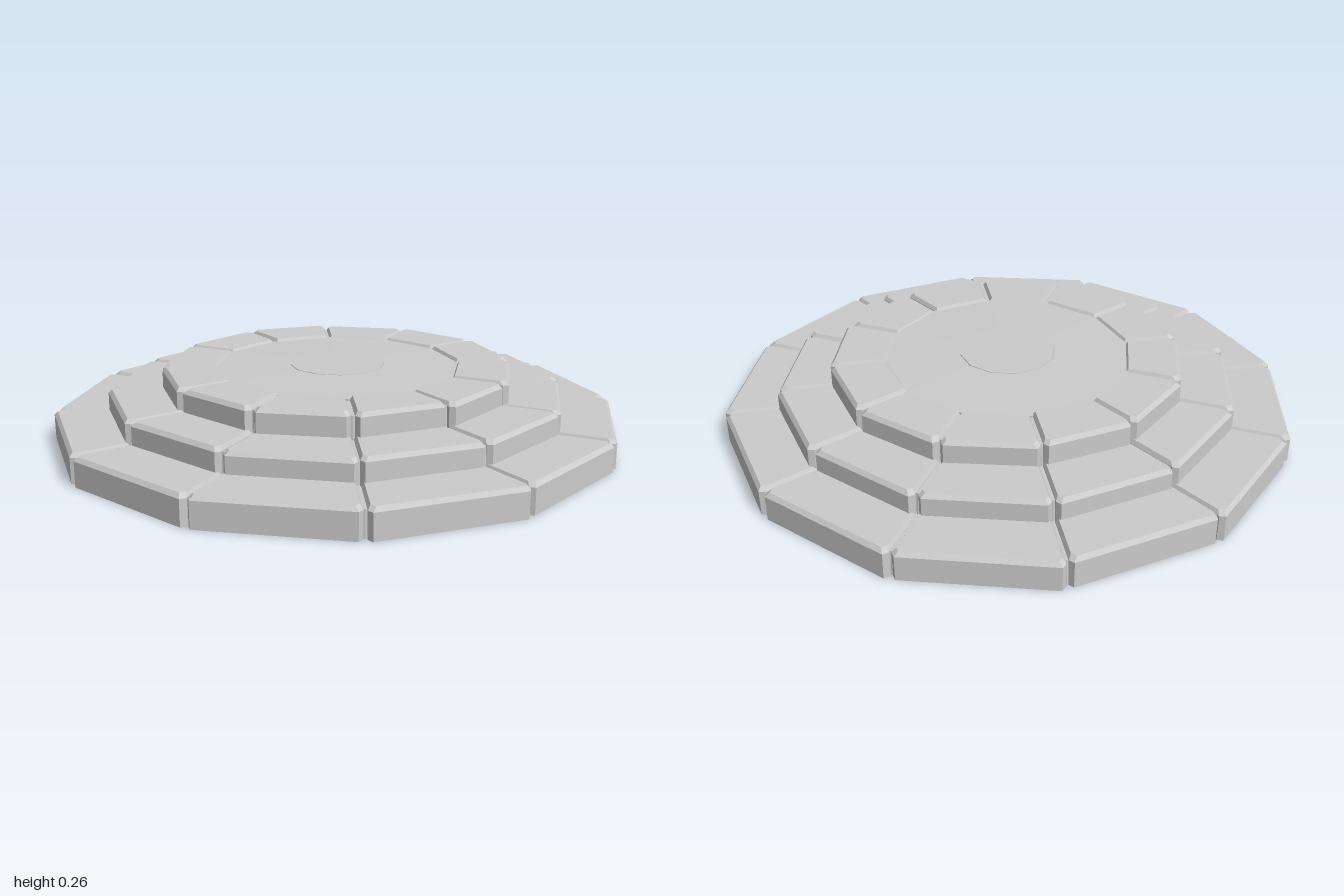
import * as THREE from 'three';

const SIDES = 12;
const STEP = (Math.PI * 2) / SIDES;
const stone = new THREE.MeshStandardMaterial({ color: 0xcccccc, flatShading: true });

// Small seeded generator, returns -1..1
function makeNoise(seed) {
  let s = seed;
  return () => {
    s = (s * 16807) % 2147483647;
    return (s / 2147483647) * 2 - 1;
  };
}

// One wedge stone: outline loops lofted upward, with clipped outer corners and a bevelled top
function blockGeometry(rIn, rA, rB, a0, a1, y0, y1, gapA, gapB) {
  const bevel = 0.014;
  const outline = (inset) => {
    const at = (r, a, shift) => [
      r * Math.sin(a) + shift * Math.cos(a),
      r * Math.cos(a) - shift * Math.sin(a),
    ];
    const i = inset * 0.6;
    return [
      at(rIn + i, a0, gapA + i),
      at(rA - 0.016 - inset, a0, gapA + i),
      at(rA - inset, a0, gapA + 0.014 + i),
      at(rB - inset, a1, -gapB - 0.014 - i),
      at(rB - 0.016 - inset, a1, -gapB - i),
      at(rIn + i, a1, -gapB - i),
    ];
  };
  const loops = [[0, y0], [0, y1 - bevel], [bevel, y1]].map(([inset, y]) =>
    outline(inset).map(([x, z]) => [x, y, z]));
  const pos = [];
  const tri = (a, b, c) => pos.push(...a, ...b, ...c);
  const n = loops[0].length;
  for (let l = 0; l < loops.length - 1; l++) {
    for (let i = 0; i < n; i++) {
      const j = (i + 1) % n;
      const lo = loops[l], hi = loops[l + 1];
      tri(lo[i], lo[j], hi[j]);
      tri(lo[i], hi[j], hi[i]);
    }
  }
  const top = loops[loops.length - 1], bottom = loops[0];
  for (let i = 1; i < n - 1; i++) {
    tri(top[0], top[i], top[i + 1]);
    tri(bottom[0], bottom[i + 1], bottom[i]);
  }
  const g = new THREE.BufferGeometry();
  g.setAttribute('position', new THREE.Float32BufferAttribute(pos, 3));
  g.computeVertexNormals();
  return g;
}

// A ring of twelve slightly uneven stones around a solid core
function tier(name, rIn, rOut, y0, y1, seed) {
  const group = new THREE.Group();
  group.name = name;
  const noise = makeNoise(seed);
  for (let i = 0; i < SIDES; i++) {
    const rA = rOut - 0.006 + noise() * 0.006;
    const rB = rOut - 0.006 + noise() * 0.006;
    const top = y1 - 0.003 + noise() * 0.003;
    const gapA = 0.004 + noise() * 0.003;
    const gapB = 0.004 + noise() * 0.003;
    const geo = blockGeometry(rIn + noise() * 0.005, rA, rB, i * STEP, (i + 1) * STEP, y0, top, gapA, gapB);
    const block = new THREE.Mesh(geo, stone);
    block.name = name + 'Stone' + (i + 1);
    group.add(block);
  }
  const h = y1 - y0 - 0.018;
  const core = new THREE.Mesh(new THREE.CylinderGeometry(rOut - 0.03, rOut - 0.025, h, SIDES), stone);
  core.position.y = y0 + h / 2;
  core.name = name + 'Core';
  group.add(core);
  return group;
}

export function createModel() {
  const model = new THREE.Group();
  model.name = 'steppedStoneDais';

  // Three stacked steps
  model.add(tier('lowerStep', 0.74, 1.005, 0, 0.104, 11));
  model.add(tier('middleStep', 0.56, 0.815, 0.08, 0.178, 4711));
  model.add(tier('upperStep', 0.43, 0.63, 0.15, 0.256, 90210));

  // Inner paving, gently sloped toward the rim
  const paving = new THREE.Mesh(
    new THREE.LatheGeometry(
      [[0.44, 0.2], [0.44, 0.244], [0.17, 0.25]].map(([x, y]) => new THREE.Vector2(x, y)), SIDES),
    stone);
  paving.name = 'innerPaving';
  model.add(paving);

  // Round centre slab
  const slab = new THREE.Mesh(new THREE.CylinderGeometry(0.168, 0.172, 0.04, SIDES), stone);
  slab.position.y = 0.231;
  slab.name = 'centreSlab';
  model.add(slab);

  return model;
}
